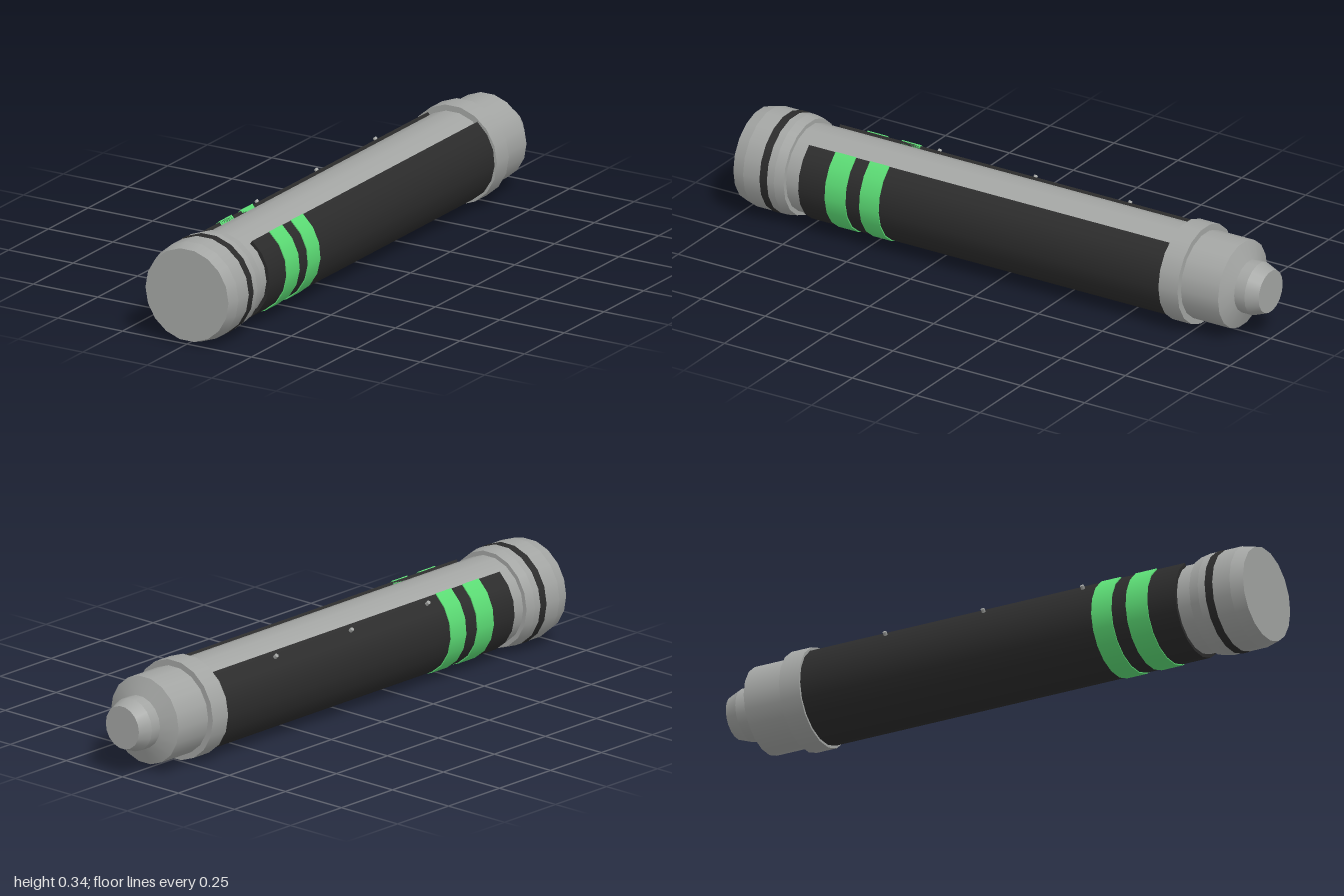
import * as THREE from 'three';
import { mergeGeometries } from 'three/addons/utils/BufferGeometryUtils.js';

const AXIS_Y = 0.17, SIDES = 18, RAD = Math.PI / 180;

export function createModel() {
  const group = new THREE.Group();
  const mat = (name, color, side = THREE.FrontSide) => {
    const m = new THREE.MeshStandardMaterial({ color, side });
    m.name = name;
    return m;
  };
  const metal = mat('grey metal', 0xa3a5a3);
  const black = mat('black grip', 0x2b2b2b);
  const green = mat('green band', 0x5bdb74);

  const add = (name, geometry, material) => {
    const mesh = new THREE.Mesh(geometry, material);
    mesh.name = name;
    mesh.position.y = AXIS_Y;
    group.add(mesh);
    return mesh;
  };

  // Turned shape along z with a sharp crease at every [radius, z] point
  const turned = (profile, segments = SIDES, start = 10, length = 360) => {
    const parts = [];
    for (let i = 0; i < profile.length - 1; i++) {
      const pts = [profile[i], profile[i + 1]].map(([r, z]) => new THREE.Vector2(r, z));
      parts.push(new THREE.LatheGeometry(pts, segments, start * RAD, length * RAD));
    }
    return mergeGeometries(parts).rotateX(Math.PI / 2);
  };

  // Core tube with shoulder and nozzle at the back
  add('tubeAndNozzle', turned([
    [0, -1], [0.074, -1], [0.091, -0.955], [0.091, -0.915],
    [0.151, -0.89], [0.151, 0.81],
  ]), metal);
  add('rearCollar', turned([
    [0.15, -0.745], [0.172, -0.745], [0.172, -0.67], [0.15, -0.67],
  ]), metal);

  // Front cap with chamfers and its black ring
  add('frontCap', turned([
    [0.15, 0.8], [0.166, 0.8], [0.172, 0.835], [0.172, 0.955], [0.161, 1], [0, 1],
  ]), metal);
  add('capRing', turned([
    [0.17, 0.862], [0.1735, 0.862], [0.1735, 0.89], [0.17, 0.89],
  ]), black);

  // Sleeves wrap the tube and stay open along the top
  const halfArc = 144;
  const sleeve = (name, radius, z0, z1, material) => {
    const inner = 0.147;
    const parts = [turned(
      [[inner, z0], [radius, z0], [radius, z1], [inner, z1]], 15, -halfArc, halfArc * 2)];
    for (const s of [-1, 1]) {
      const wall = new THREE.BoxGeometry(radius - inner, 0.002, z1 - z0);
      wall.translate((radius + inner) / 2 - 0.0005, s * -0.001, (z0 + z1) / 2);
      wall.rotateZ((-90 + s * halfArc) * RAD);
      parts.push(wall);
    }
    add(name, mergeGeometries(parts), material);
  };
  sleeve('grip', 0.163, -0.68, 0.745, black);
  sleeve('rearBand', 0.1665, 0.43, 0.505, green);
  sleeve('frontBand', 0.1665, 0.56, 0.64, green);

  // Three small studs along the edge of the grip
  for (const z of [-0.375, -0.005, 0.37]) {
    const stud = add('stud', new THREE.CylinderGeometry(0.007, 0.007, 0.026, 8), metal);
    stud.rotation.z = 45 * RAD;
    stud.position.set(-0.112, AXIS_Y + 0.115, z);
  }
  return group;
}
